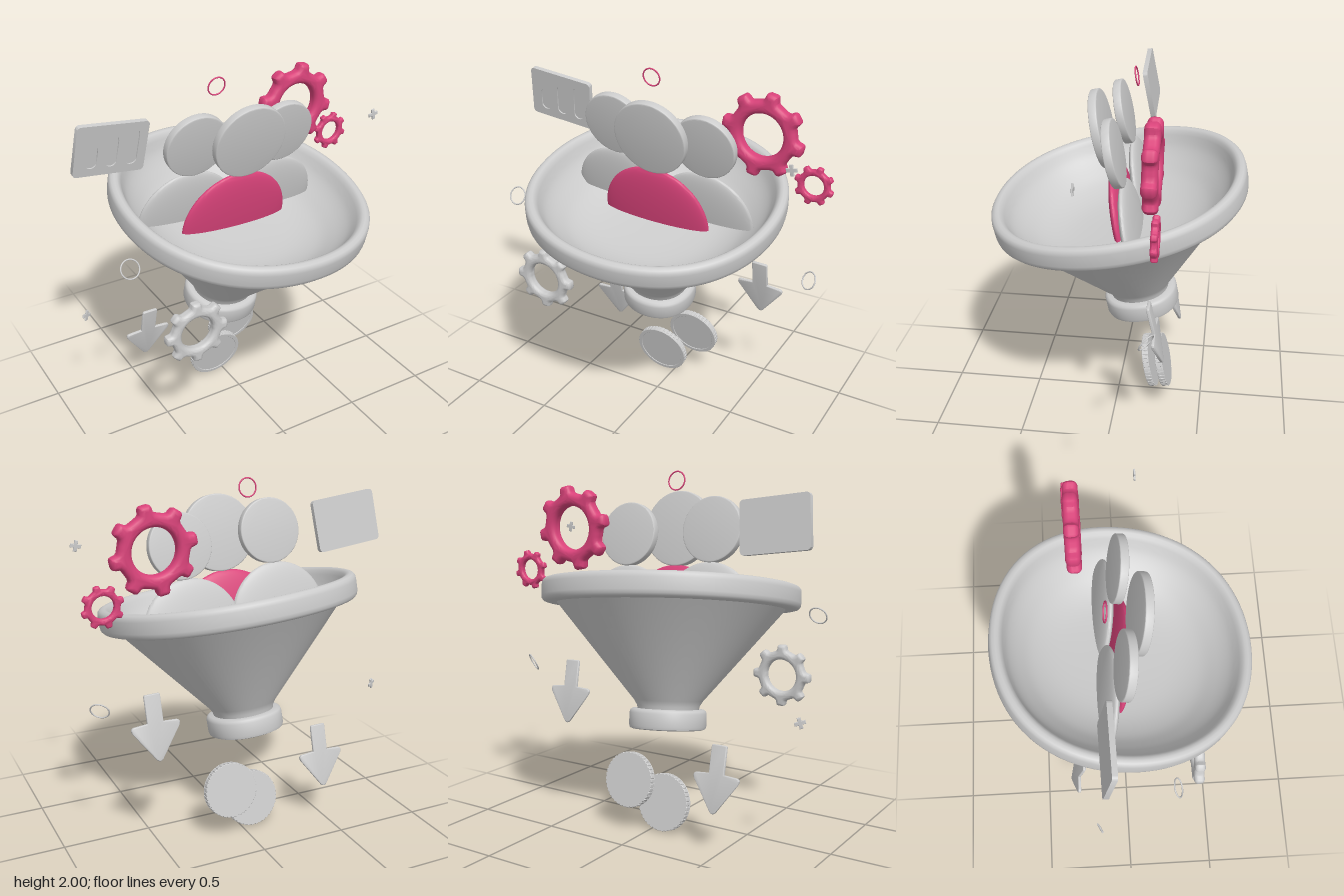
import * as THREE from 'three';
import { toCreasedNormals } from 'three/addons/utils/BufferGeometryUtils.js';

const GREY = new THREE.MeshStandardMaterial({ color: 0xcccccc, side: THREE.DoubleSide });
const PINK = new THREE.MeshStandardMaterial({ color: 0xd9437a, side: THREE.DoubleSide });
const LEAN = 0.22; // most floating pieces lean forward by this angle

const V = (pts) => pts.map(([x, y]) => new THREE.Vector2(x, y));

// Extrusion centred on z, with a rounded edge that stays inside the outline
function plate(shape, depth, bevel, seg = 3) {
  const g = new THREE.ExtrudeGeometry(shape, {
    depth: depth - 2 * bevel, curveSegments: 32, bevelEnabled: bevel > 0,
    bevelThickness: bevel, bevelSize: bevel, bevelOffset: -bevel, bevelSegments: seg,
  });
  g.translate(0, 0, -depth / 2 + bevel);
  return toCreasedNormals(g, 0.6);
}

function disc(r) {
  const s = new THREE.Shape();
  s.absarc(0, 0, r, 0, Math.PI * 2);
  return s;
}

// Upper half of a lens: a flattened dome with a closed flat bottom
function halfLens(r, thickness) {
  const pts = [[0, 0]];
  for (let i = 0; i <= 20; i++) {
    const a = (i / 20) * Math.PI / 2;
    pts.push([i === 20 ? 0 : r * Math.cos(a), r * Math.sin(a)]);
  }
  const g = new THREE.LatheGeometry(V(pts), 64);
  g.scale(1, 1, thickness / (2 * r));
  return toCreasedNormals(g, 0.8);
}

function roundedRect(x, y, w, h, r, Type = THREE.Shape) {
  const s = new Type();
  s.absarc(x + w - r, y + r, r, -Math.PI / 2, 0);
  s.absarc(x + w - r, y + h - r, r, 0, Math.PI / 2);
  s.absarc(x + r, y + h - r, r, Math.PI / 2, Math.PI);
  s.absarc(x + r, y + r, r, Math.PI, Math.PI * 1.5);
  s.closePath();
  return s;
}

// Gear outline: eight soft teeth standing on a round body, with a hole
function gearShape(r, hole, phase) {
  const pts = [];
  for (let i = 0; i < 8; i++) {
    const a = phase + (i * Math.PI) / 4;
    [[-0.24, 0.82], [-0.19, 0.85], [-0.16, 0.93], [-0.13, 0.98], [-0.08, 1], [0.08, 1],
      [0.13, 0.98], [0.16, 0.93], [0.19, 0.85], [0.24, 0.82], [0.34, 0.81], [0.45, 0.81]]
      .forEach(([d, q]) => pts.push([Math.cos(a + d) * q * r, Math.sin(a + d) * q * r]));
  }
  const s = new THREE.Shape(V(pts));
  s.holes.push(new THREE.Path().absarc(0, 0, hole, 0, Math.PI * 2, true));
  return s;
}

// Ridges around a coin's edge
function ridgedShape(r) {
  const pts = [];
  const n = 40;
  for (let i = 0; i < n; i++) {
    [[0, 1], [0.6, 1], [0.68, 0.975], [0.92, 0.975]].forEach(([d, q]) => {
      const a = ((i + d) / n) * Math.PI * 2;
      pts.push([Math.cos(a) * r * q, Math.sin(a) * r * q]);
    });
  }
  return new THREE.Shape(V(pts));
}

function arrowShape() {
  const s = new THREE.Shape();
  s.moveTo(-0.046, 0.173);
  s.quadraticCurveTo(-0.046, 0.185, -0.034, 0.185);
  s.lineTo(0.034, 0.185);
  s.quadraticCurveTo(0.046, 0.185, 0.046, 0.173);
  s.lineTo(0.046, 0.032);
  s.lineTo(0.12, 0.027);
  s.quadraticCurveTo(0.147, 0.022, 0.132, -0.008);
  s.lineTo(0.018, -0.17);
  s.quadraticCurveTo(0, -0.19, -0.018, -0.17);
  s.lineTo(-0.132, -0.008);
  s.quadraticCurveTo(-0.147, 0.022, -0.12, 0.027);
  s.lineTo(-0.046, 0.032);
  s.closePath();
  return s;
}

function plusShape() {
  const a = 0.03, b = 0.01;
  return new THREE.Shape(V([[b, b], [b, a], [-b, a], [-b, b], [-a, b], [-a, -b],
    [-b, -b], [-b, -a], [b, -a], [b, -b], [a, -b], [a, b]]));
}

function createFunnel() {
  const funnel = new THREE.Group();
  funnel.name = 'funnel';
  // Turned parts, slightly fuller along the diagonals
  const lathe = (name, pts) => {
    const g = new THREE.LatheGeometry(V(pts), 96);
    const p = g.attributes.position;
    for (let i = 0; i < p.count; i++) {
      const k = 1 + 0.025 * Math.sin(2 * Math.atan2(p.getZ(i), p.getX(i))) ** 2;
      p.setXYZ(i, p.getX(i) * k, p.getY(i), p.getZ(i) * k);
    }
    const m = new THREE.Mesh(toCreasedNormals(g, 0.7), GREY);
    m.name = name;
    funnel.add(m);
  };
  lathe('spout', [[0, -0.75], [0.195, -0.75], [0.207, -0.745], [0.212, -0.73], [0.212, -0.66],
    [0.207, -0.645], [0.195, -0.637], [0.15, -0.637]]);
  lathe('cone', [[0.165, -0.66], [0.172, -0.62], [0.19, -0.59], [0.63, -0.06]]);
  // Rounded rim running into a bowl
  const rim = [[0.62, -0.065], [0.68, -0.065], [0.697, -0.06], [0.707, -0.048], [0.71, -0.03],
    [0.71, 0.03], [0.707, 0.048], [0.697, 0.06], [0.68, 0.066], [0.665, 0.064], [0.65, 0.052]];
  const bowl = new THREE.SplineCurve(V([[0.64, 0.03], [0.605, -0.035], [0.545, -0.1],
    [0.46, -0.165], [0.34, -0.21], [0.18, -0.228], [0, -0.23]])).getPoints(28);
  lathe('rimAndBowl', [...rim, ...bowl.map((p) => [Math.max(p.x, 0), p.y])]);
  funnel.position.set(0, 1.315, 0);
  funnel.rotation.set(0.187, 0, -0.08);
  return funnel;
}

export function createModel() {
  const model = new THREE.Group();
  model.name = 'funnelScene';
  const add = (name, geo, pos, rot = [0, 0, 0], mat = GREY, parent = model) => {
    const m = new THREE.Mesh(geo, mat);
    m.name = name;
    m.position.set(...pos);
    m.rotation.set(...rot);
    parent.add(m);
    return m;
  };

  model.add(createFunnel());

  // Half lenses standing in the bowl
  add('frontHalfDisc', halfLens(0.325, 0.1), [-0.02, 1.165, -0.03], [0.2, 0, -0.03], PINK);
  add('rightHalfDisc', halfLens(0.29, 0.09), [-0.282, 1.235, -0.105], [LEAN, 0, -0.05]);
  add('leftHalfDisc', halfLens(0.29, 0.09), [0.245, 1.195, -0.11], [LEAN, 0, -0.05]);

  // Plain discs floating above the bowl
  [['middleDisc', 0.212, 0.01, 1.682, 0.088], ['rightDisc', 0.18, -0.262, 1.688, 0.003],
    ['leftDisc', 0.18, 0.28, 1.648, -0.01]].forEach(([name, r, x, y, z]) =>
    add(name, plate(disc(r), 0.046, 0.006), [x, y, z], [LEAN, 0, 0]));

  // Chart card: a front layer with bar-shaped slots over a solid back
  const card = new THREE.Group();
  card.name = 'chartCard';
  const outline = () => roundedRect(-0.197, -0.144, 0.394, 0.288, 0.022);
  const front = outline();
  [[-0.135, 0.13], [-0.025, 0.175], [0.088, 0.2]].forEach(([x, h]) =>
    front.holes.push(roundedRect(x, -0.1, 0.062, h, 0.029, THREE.Path)));
  add('cardFront', plate(front, 0.008, 0), [0, 0, 0.01], [0, 0, 0], GREY, card);
  add('cardBack', plate(outline(), 0.02, 0), [0, 0, -0.004], [0, 0, 0], GREY, card);
  card.position.set(-0.69, 1.728, -0.108);
  card.rotation.set(0.18, 0, -0.12);
  model.add(card);

  // Gears
  add('largeGear', plate(gearShape(0.237, 0.122, 0.576), 0.08, 0.03, 5), [0.51, 1.687, -0.23], [0, 0, 0], PINK);
  add('smallGear', plate(gearShape(0.112, 0.058, 0.5), 0.036, 0.012, 4), [0.8, 1.442, -0.273], [0, 0, 0], PINK);
  add('frontGear', plate(gearShape(0.18, 0.094, Math.PI / 2), 0.06, 0.022, 5), [-0.5, 0.842, 0.398]);

  // Arrows pointing down
  const arrow = plate(arrowShape(), 0.018, 0.006);
  add('leftArrow', arrow, [0.535, 0.744, -0.262], [0.22, 0, -0.03]);
  add('rightArrow', arrow, [-0.467, 0.399, -0.295], [0.24, 0, -0.02]);

  // Ridged coins with a raised ring on the face
  [['lowerCoin', 0.162, -0.067, 0.166, -0.188], ['upperCoin', 0.156, 0.104, 0.293, -0.277]]
    .forEach(([name, r, x, y, z]) => {
      const coin = new THREE.Group();
      coin.name = name;
      add('coinBody', plate(ridgedShape(r), 0.034, 0.002, 1), [0, 0, 0], [0, 0, 0], GREY, coin);
      const edge = disc(r);
      edge.holes.push(new THREE.Path().absarc(0, 0, r * 0.86, 0, Math.PI * 2, true));
      add('coinRing', plate(edge, 0.006, 0.002, 1), [0, 0, 0.018], [0, 0, 0], GREY, coin);
      coin.position.set(x, y, z);
      coin.rotation.x = LEAN;
      model.add(coin);
    });

  // Thin rings
  const ring = new THREE.TorusGeometry(0.05, 0.004, 10, 48);
  add('topRing', ring, [-0.085, 1.947, -0.085], [0.18, 0, 0], PINK);
  add('rightRing', ring, [-0.78, 1.23, 0.248], [-0.48, 0, 0]);
  const sideRing = add('leftRing', ring, [0.83, 0.885, -0.24]);
  sideRing.quaternion.setFromUnitVectors(new THREE.Vector3(0, 0, 1),
    new THREE.Vector3(-0.5, 0.45, 0.75).normalize());

  // Little plus signs
  const plus = plate(plusShape(), 0.01, 0.003);
  add('leftPlus', plus, [0.812, 1.675, 0.11], [0, 0, 0.2]);
  add('rightPlus', plus, [-0.882, 0.74, -0.172], [0, 0.5, -0.3]);

  return model;
}
